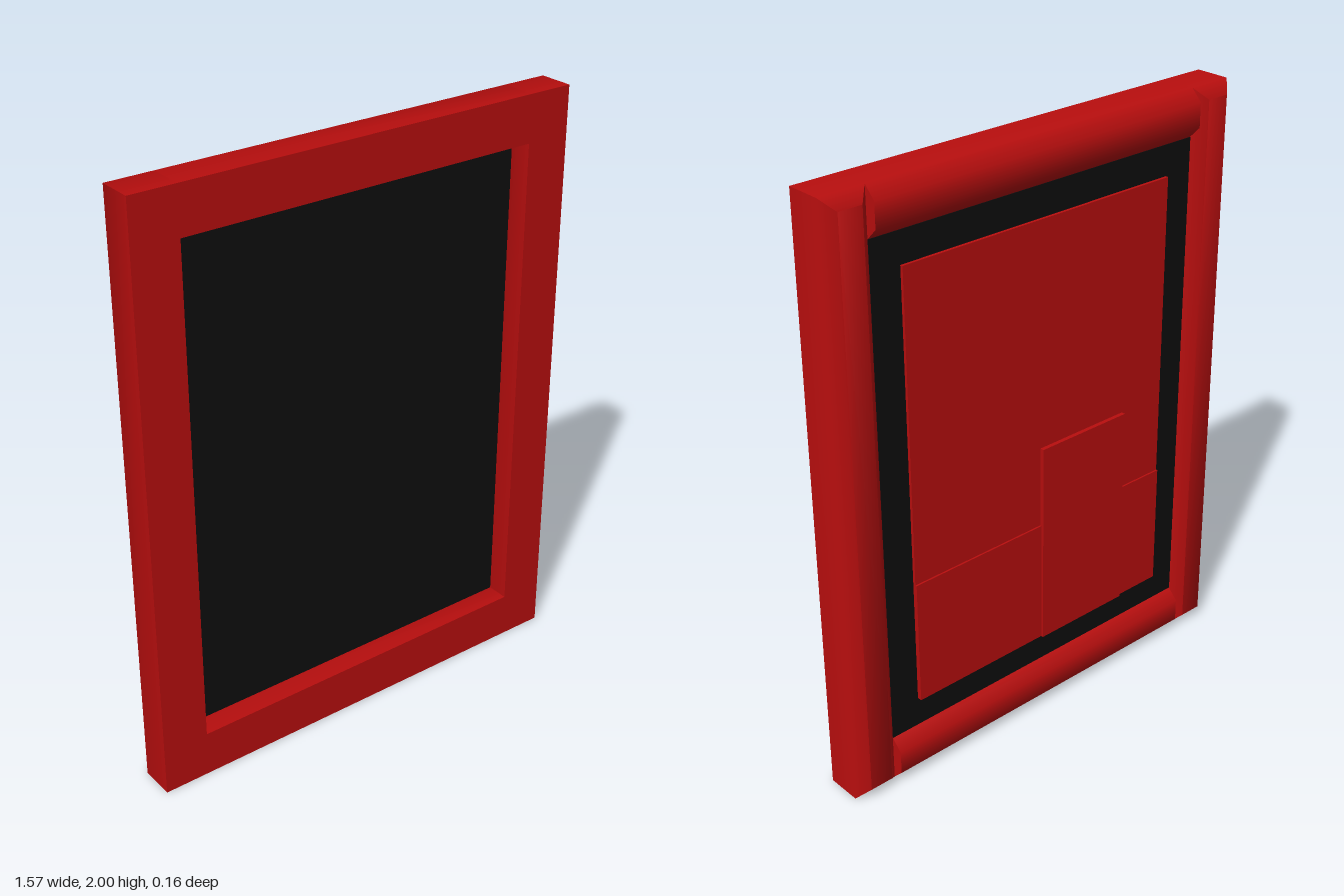
import * as THREE from 'three';
import { toCreasedNormals } from 'three/addons/utils/BufferGeometryUtils.js';
import { ConvexGeometry } from 'three/addons/geometries/ConvexGeometry.js';

const HALF_W = 0.787; // half width of the whole frame
const BAR = 0.157;    // bar section is square
const CHAMFER = 0.038;
const FRONT = BAR / 2, BACK = -BAR / 2;

// Bar whose back edges are chamfered by insetX / insetY
function barGeometry(width, height, insetX, insetY) {
  const points = [];
  const sections = [[FRONT, 0, 0], [BACK + CHAMFER, 0, 0], [BACK, insetX, insetY]];
  for (const [z, ix, iy] of sections) {
    for (const sx of [-1, 1]) {
      for (const sy of [-1, 1]) {
        points.push(new THREE.Vector3(sx * (width / 2 - ix), sy * (height / 2 - iy), z));
      }
    }
  }
  return toCreasedNormals(new ConvexGeometry(points), 0.9);
}

export function createModel() {
  const group = new THREE.Group();
  group.name = 'framedPanel';

  const red = new THREE.MeshStandardMaterial({ color: 0xb80e0e });
  red.name = 'red';
  const black = new THREE.MeshStandardMaterial({ color: 0x0e0e0e });
  black.name = 'black';

  function add(name, geometry, material, x, y, z) {
    const mesh = new THREE.Mesh(geometry, material);
    mesh.name = name;
    mesh.position.set(x, y, z);
    group.add(mesh);
  }

  // Block given by its limits
  function slab(name, material, x0, x1, y0, y1, z0, z1) {
    add(name, new THREE.BoxGeometry(x1 - x0, y1 - y0, z1 - z0), material,
      (x0 + x1) / 2, (y0 + y1) / 2, (z0 + z1) / 2);
  }

  // Full-height side bars, chamfered all round the back
  const inner = HALF_W - BAR;
  const side = barGeometry(BAR, 2, CHAMFER, CHAMFER);
  add('leftBar', side, red, HALF_W - BAR / 2, 1, 0);
  add('rightBar', side, red, -HALF_W + BAR / 2, 1, 0);

  // Top and bottom bars fitted between the sides
  const rail = barGeometry(2 * inner, BAR, 0, CHAMFER);
  add('topBar', rail, red, 0, 2 - BAR / 2, 0);
  add('bottomBar', rail, red, 0, BAR / 2, 0);

  // Dark panel set into the frame
  const panelBack = -0.042;
  slab('panel', black, -inner, inner, BAR, 2 - BAR, panelBack, 0.002);

  // Back cover with three raised blocks along its lower edge
  const edge = 0.525, low = 0.26;
  slab('backCover', red, -edge, edge, low, 2 - low, -0.052, panelBack);
  slab('leftBlock', red, 0.01, edge, low, 0.692, -0.058, -0.052);
  slab('rightBlock', red, -edge, -0.35, low, 0.692, -0.058, -0.052);
  slab('middleBlock', red, -0.35, 0.01, low, 0.975, -0.066, -0.052);

  return group;
}
